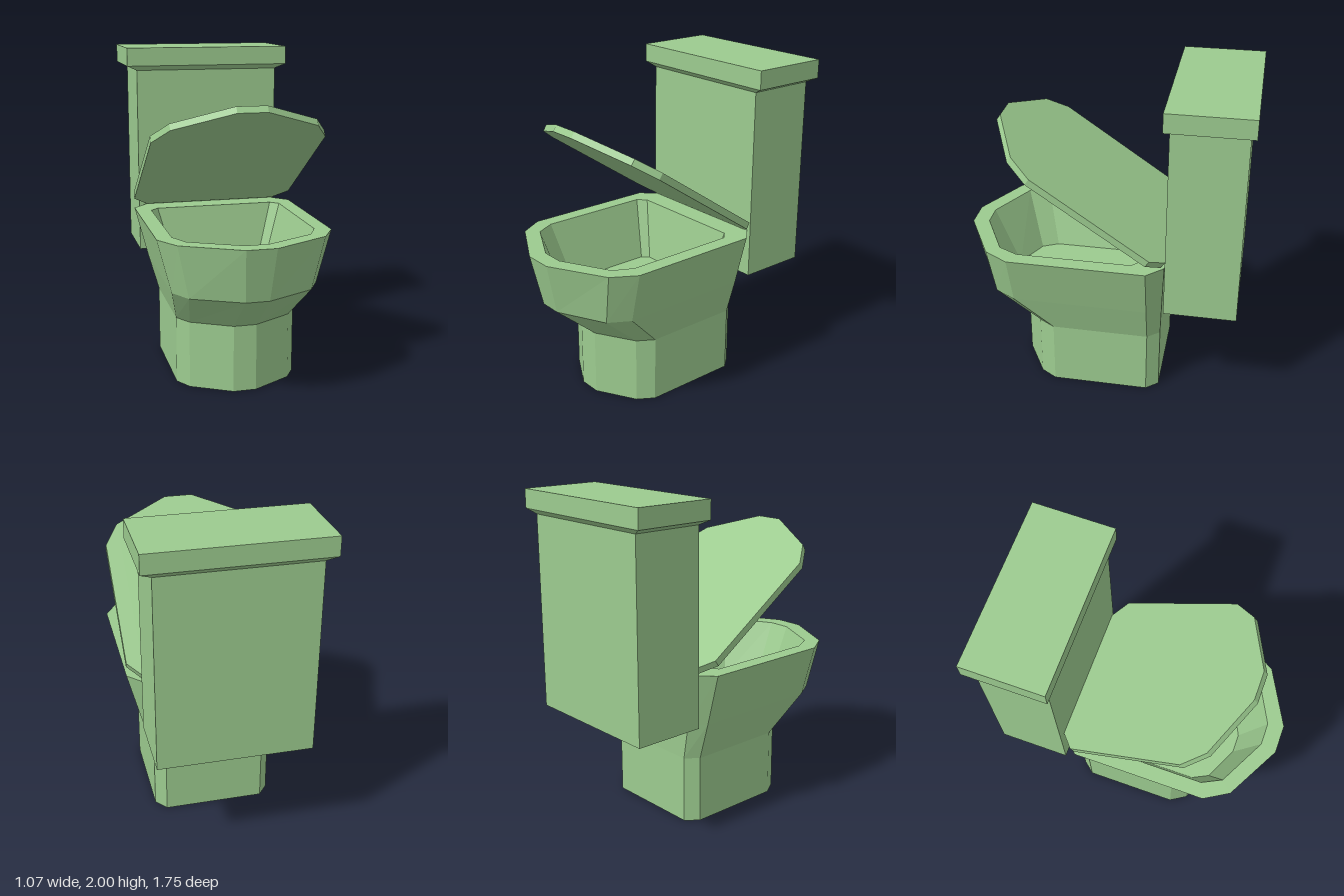
import * as THREE from 'three';

const material = new THREE.MeshStandardMaterial({ color: 0x9ccb8f, flatShading: true });

// Ten-sided symmetric outline at height y, from the right half listed back to front
function outline(y, half) {
  const right = half.map(([x, z]) => [x, y, z]);
  const left = half.map(([x, z]) => [-x, y, z]).reverse();
  return [...right, ...left];
}

// Rectangle at height y
const rect = (y, halfWidth, back, front) => outline(y, [[halfWidth, back], [halfWidth, front]]);

// Closed faceted skin through a sequence of rings, capped at both ends
function loft(name, rings) {
  const pos = [];
  const tri = (a, b, c) => pos.push(...a, ...b, ...c);
  const n = rings[0].length;
  for (let r = 0; r < rings.length - 1; r++) {
    const lo = rings[r], up = rings[r + 1];
    for (let i = 0; i < n; i++) {
      const j = (i + 1) % n;
      tri(lo[i], up[i], lo[j]);
      tri(up[i], up[j], lo[j]);
    }
  }
  const first = rings[0], last = rings[rings.length - 1];
  for (let i = 1; i < n - 1; i++) {
    tri(first[0], first[i], first[i + 1]);
    tri(last[0], last[i + 1], last[i]);
  }
  const geometry = new THREE.BufferGeometry();
  geometry.setAttribute('position', new THREE.Float32BufferAttribute(pos, 3));
  geometry.computeVertexNormals();
  const mesh = new THREE.Mesh(geometry, material);
  mesh.name = name;
  return mesh;
}

export function createModel() {
  const model = new THREE.Group();
  model.name = 'toilet';

  const foot = [[0.31, -0.375], [0.372, -0.3], [0.372, 0.3], [0.31, 0.4], [0.07, 0.535]];
  const belly = [[0.36, -0.385], [0.44, -0.3], [0.44, 0.53], [0.365, 0.66], [0.07, 0.805]];
  const rim = [[0.43, -0.4], [0.525, -0.3], [0.525, 0.54], [0.435, 0.69], [0.09, 0.875]];
  const opening = [[0.38, -0.25], [0.43, -0.2], [0.43, 0.5], [0.37, 0.62], [0.07, 0.775]];
  const floor = [[0.28, -0.19], [0.32, -0.15], [0.32, 0.42], [0.27, 0.52], [0.06, 0.62]];
  const drain = [[0.09, -0.1], [0.12, -0.08], [0.12, 0.18], [0.1, 0.22], [0.03, 0.26]];

  // Pedestal and hollow bowl in one skin: up the outside, over the rim, down inside
  const bowl = loft('bowl', [
    outline(0, foot), outline(0.415, foot), outline(0.65, belly), outline(0.975, rim),
    outline(0.975, opening), outline(0.6, floor), outline(0.6, drain), outline(0.45, drain),
  ]);
  bowl.position.x = 0.005;

  // Half-raised cover, same outline as the rim, hinged at its back edge
  const hinged = rim.map(([x, z]) => [x, z + 0.4]);
  const cover = loft('seatCover', [outline(0, hinged), outline(0.043, hinged)]);
  cover.position.set(0.005, 0.98, -0.38);
  cover.rotation.x = -0.597;

  // Cistern and its overhanging lid with a bevelled underside
  const tank = loft('tank', [rect(0.665, 0.463, -0.845, -0.405), rect(1.855, 0.463, -0.845, -0.405)]);
  const tankLid = loft('tankLid', [
    rect(1.855, 0.463, -0.845, -0.405),
    rect(1.885, 0.528, -0.877, -0.375),
    rect(2, 0.528, -0.877, -0.375),
  ]);
  tank.position.x = tankLid.position.x = -0.008;

  model.add(bowl, cover, tank, tankLid);
  return model;
}
